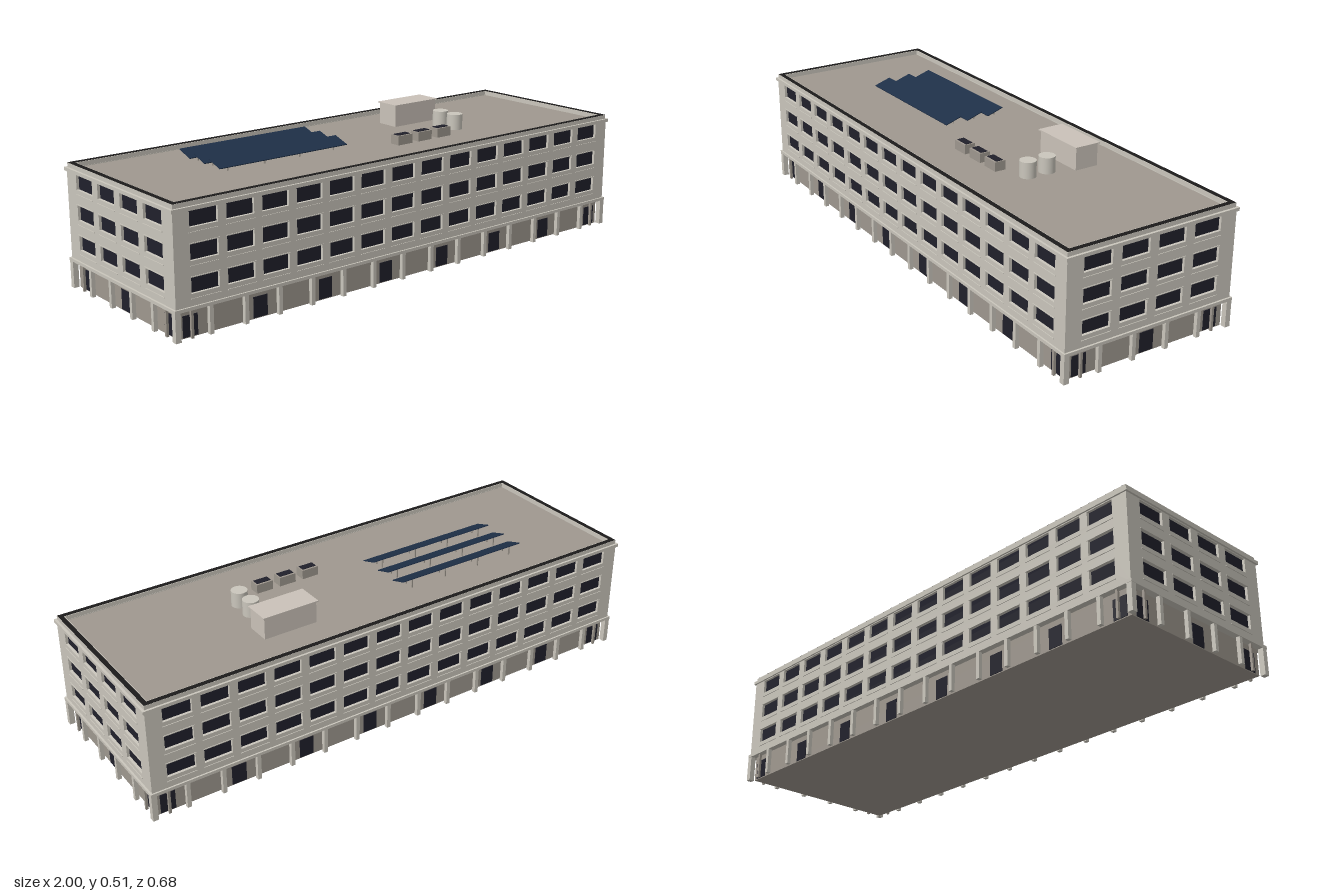
import * as THREE from 'three';

const mat = (name, color, side = THREE.FrontSide) => {
  const m = new THREE.MeshStandardMaterial({ color, side });
  m.name = name;
  return m;
};

export function createModel() {
  const wall = mat('pale concrete', 0xcac6bc);
  const grey = mat('warm grey render', 0x9f988f);
  const glass = mat('dark glass', 0x20202b);
  const solar = mat('solar blue', 0x1e2f47);
  const hut = mat('hut plaster', 0xcac2b9);
  const coping = mat('dark coping', 0x1c1b1b);
  const model = new THREE.Group();
  model.name = 'officeBuilding';

  // box given by its centre in x and z, and its bottom and top in y
  const box = (name, m, x, z, w, d, y0, y1, parent = model) => {
    const mesh = new THREE.Mesh(new THREE.BoxGeometry(w, y1 - y0, d), m);
    mesh.position.set(x, (y0 + y1) / 2, z);
    mesh.name = name;
    parent.add(mesh);
    return mesh;
  };

  const windowRows = [[0.147, 0.2], [0.253, 0.307], [0.36, 0.412]];
  const BAY = 0.1333;

  // one side of the building, built facing +z and then turned
  const facade = (name, halfWidth, dist, turn, count, pitch, winW, bays, doorBays, wallTrim) => {
    const g = new THREE.Group();
    g.name = name;
    g.rotation.y = turn;
    model.add(g);

    // upper wall pierced by windows
    const hw = halfWidth - wallTrim;
    const shape = new THREE.Shape();
    shape.moveTo(-hw, 0.1).lineTo(hw, 0.1).lineTo(hw, 0.42).lineTo(-hw, 0.42).closePath();
    for (const [y0, y1] of windowRows) {
      for (let i = 0; i < count; i++) {
        const x = (i - (count - 1) / 2) * pitch, h = winW / 2;
        const hole = new THREE.Path();
        hole.moveTo(x - h, y0).lineTo(x - h, y1).lineTo(x + h, y1).lineTo(x + h, y0).closePath();
        shape.holes.push(hole);
        // thin sill and lintel lines
        box('sill', wall, x, dist, winW + 0.006, 0.005, y0 - 0.018, y0 - 0.015, g);
        if (y1 < 0.4) box('lintel', wall, x, dist, winW + 0.006, 0.005, y1, y1 + 0.003, g);
      }
      box('windowGlass', glass, 0, dist - 0.013, 2 * hw - 0.06, 0.006, y0 - 0.004, y1 + 0.004, g);
    }
    const upper = new THREE.Mesh(
      new THREE.ExtrudeGeometry(shape, { depth: 0.02, bevelEnabled: false }), wall);
    upper.position.z = dist - 0.02;
    upper.name = 'upperWall';
    g.add(upper);

    // arcade columns between the bays
    for (let i = 1; i < bays; i++) {
      box('column', wall, (i - bays / 2) * BAY, dist - 0.002, 0.0145, 0.0145, 0, 0.097, g);
    }
    // ground floor doors on the recessed wall, with slim posts at the end bays
    for (const b of doorBays) {
      box('door', glass, b * BAY, dist - 0.017, 0.055, 0.004, 0.003, 0.075, g);
      if (Math.abs(b) === (bays - 1) / 2) {
        box('slimPost', grey, b * BAY, dist - 0.006, 0.009, 0.009, 0, 0.097, g);
      }
    }
  };
  const longDoors = [-7, -5, -3, -1, 1, 3, 5, 7], shortDoors = [-2, 0, 2];
  facade('frontFacade', 0.993, 0.333, 0, 14, 0.1357, 0.104, 15, longDoors, 0);
  facade('backFacade', 0.993, 0.333, Math.PI, 14, 0.1357, 0.104, 15, longDoors, 0);
  facade('leftFacade', 0.333, 0.993, Math.PI / 2, 4, 0.144, 0.108, 5, shortDoors, 0.003);
  facade('rightFacade', 0.333, 0.993, -Math.PI / 2, 4, 0.144, 0.108, 5, shortDoors, 0.003);

  // recessed ground floor, floor band and corner columns
  box('groundFloor', grey, 0, 0, 1.952, 0.632, 0, 0.097);
  box('floorBand', wall, 0, 0, 2, 0.678, 0.096, 0.107);
  for (const sx of [-1, 1]) for (const sz of [-1, 1]) {
    box('cornerColumn', wall, sx * 0.989, sz * 0.328, 0.02, 0.02, 0, 0.097);
  }

  // hollow rectangular frame for cornice, parapet and coping
  const ring = (name, m, w, d, t, y0, y1) => {
    for (const s of [-1, 1]) {
      box(name, m, 0, s * (d - t / 2), 2 * w, t, y0, y1);
      box(name, m, s * (w - t / 2), 0, t, 2 * (d - t), y0, y1);
    }
  };
  ring('cornice', wall, 1, 0.339, 0.03, 0.415, 0.427);
  ring('parapet', wall, 0.991, 0.331, 0.021, 0.42, 0.442);
  ring('coping', coping, 0.99, 0.33, 0.017, 0.442, 0.443);
  box('roofDeck', grey, 0, 0, 1.95, 0.63, 0.415, 0.425);

  // solar panel rows, tilted to the front
  for (const z of [-0.1445, -0.0535, 0.0375]) {
    const panel = box('solarPanel', solar, -0.375, z, 0.54, 0.068, 0.4515, 0.4545);
    panel.rotation.x = 0.32;
    for (let i = 0; i < 4; i++) {
      const x = -0.6 + i * 0.15;
      box('panelBackLeg', grey, x, z - 0.024, 0.004, 0.004, 0.424, 0.459);
      box('panelFrontLeg', grey, x, z + 0.012, 0.004, 0.004, 0.424, 0.448);
    }
  }

  // stair hut
  box('stairHut', hut, 0.367, -0.135, 0.205, 0.09, 0.424, 0.506);
  box('stairHutRoof', hut, 0.367, -0.135, 0.216, 0.102, 0.506, 0.51);

  // water tanks
  for (const z of [0.073, -0.005]) {
    const tank = new THREE.Mesh(new THREE.CylinderGeometry(0.0295, 0.0295, 0.059, 24), wall);
    tank.position.set(0.42, 0.4535, z);
    tank.name = 'waterTank';
    model.add(tank);
  }

  // ventilation units
  for (const x of [0.107, 0.203, 0.298]) {
    box('ventUnit', grey, x, 0.124, 0.066, 0.042, 0.424, 0.459);
    box('ventGrille', glass, x, 0.124, 0.056, 0.027, 0.459, 0.461);
  }
  return model;
}
